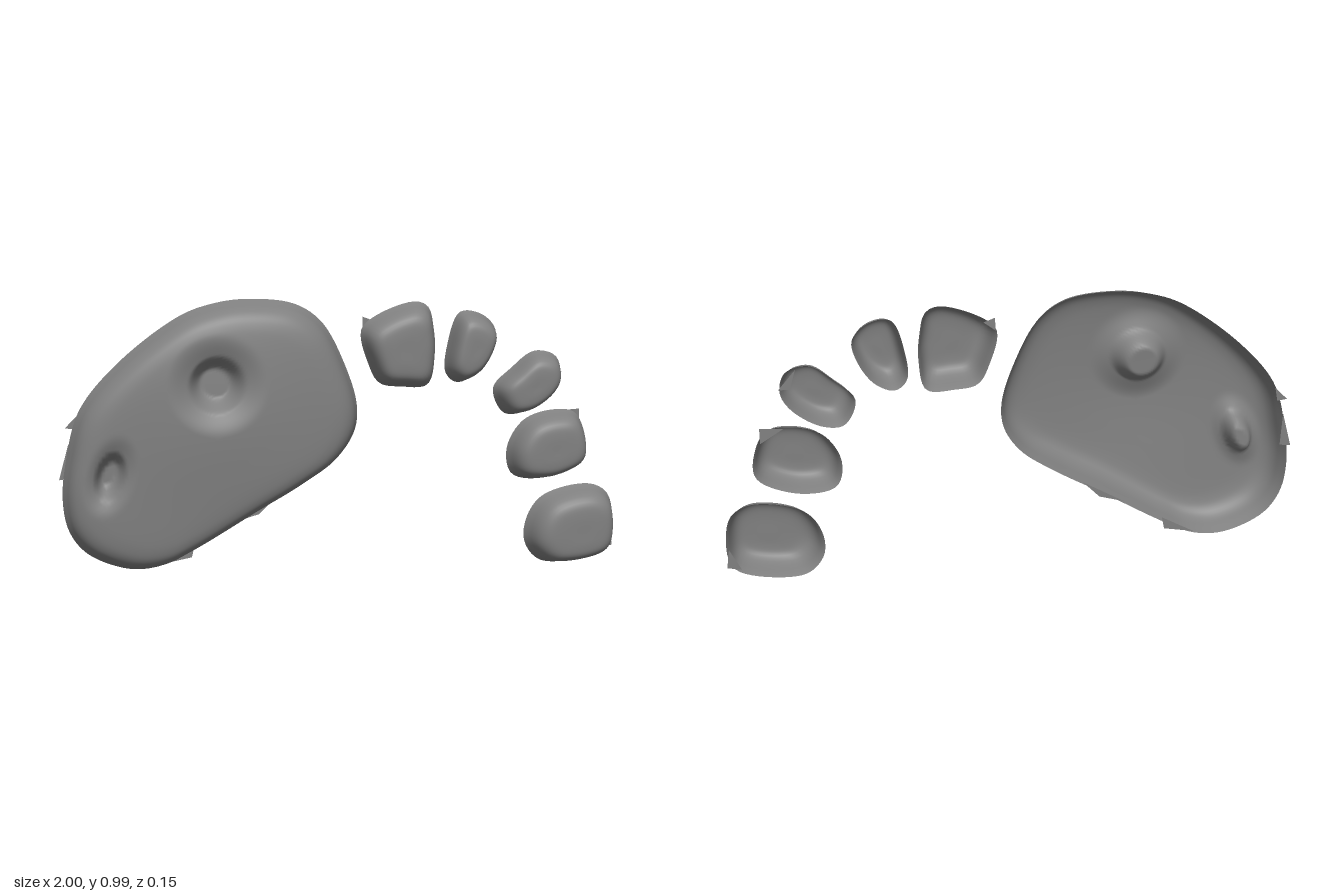
import * as THREE from 'three';

const BACK = -0.075; // plane of the open rims
const { smoothstep } = THREE.MathUtils;
const material = new THREE.MeshStandardMaterial({ color: 0x808080, side: THREE.DoubleSide });

// Open-backed shell: a closed outline (clockwise from the front) shrinks towards
// its centre along a profile of [scale, height fraction] pairs.
function shell(name, outline, centre, profile, frontZ, segments, rings) {
  const rim = new THREE.CatmullRomCurve3(
    outline.map(([x, y]) => new THREE.Vector3(x, y, 0)), true, 'centripetal'
  ).getSpacedPoints(segments).slice(0, segments);
  const section = new THREE.SplineCurve(profile.map(([s, h]) => new THREE.Vector2(s, h * 0.2)))
    .getSpacedPoints(rings);
  const [cx, cy] = centre;
  const positions = [], index = [];
  for (let i = 0; i < rings; i++) {
    const { x: scale, y: height } = section[i];
    for (const p of rim) {
      const x = cx + (p.x - cx) * scale, y = cy + (p.y - cy) * scale;
      positions.push(x, y, BACK + (frontZ(x, y) - BACK) * height * 5);
    }
  }
  positions.push(cx, cy, frontZ(cx, cy));
  const last = rings * segments;
  for (let i = 0; i < rings; i++) {
    for (let j = 0; j < segments; j++) {
      const k = (j + 1) % segments;
      const a = i * segments + j, b = i * segments + k;
      if (i === rings - 1) index.push(a, last, b);
      else index.push(a, a + segments, b, b, a + segments, b + segments);
    }
  }
  const geometry = new THREE.BufferGeometry();
  geometry.setAttribute('position', new THREE.Float32BufferAttribute(positions, 3));
  geometry.setIndex(index);
  geometry.computeVertexNormals();
  const mesh = new THREE.Mesh(geometry, material);
  mesh.name = name;
  return mesh;
}

// Funnel-shaped dent with a steep inner socket, as a depth at (x, y)
function dent(x, y, { cx, cy, rx, ry, tilt, funnel, socket }) {
  const dx = x - cx, dy = y - cy, c = Math.cos(tilt), s = Math.sin(tilt);
  const d = Math.hypot((dx * c + dy * s) / rx, (dy * c - dx * s) / ry);
  return funnel * (1 - smoothstep(d, 0.6, 2.2)) + socket * (1 - smoothstep(d, 0.6, 1.25));
}

const EYES = [
  { cx: -0.465, cy: 0.705, rx: 0.08, ry: 0.08, tilt: 0, funnel: 0.035, socket: 0.055 },
  { cx: -0.83, cy: 0.4, rx: 0.04, ry: 0.07, tilt: -0.35, funnel: 0.025, socket: 0.055 },
];

// Front of the head: gentle swell with two dents
function headFront(x, y) {
  const swell = Math.exp(-(((x + 0.42) / 0.38) ** 2) - ((y - 0.58) / 0.4) ** 2);
  return EYES.reduce((z, eye) => z - dent(x, y, eye), 0.031 + 0.046 * swell);
}

const HEAD_OUTLINE = [
  [-0.35, 0.985], [-0.18, 0.965], [-0.085, 0.9], [0, 0.74], [0.04, 0.6], [0.03, 0.51],
  [-0.03, 0.42], [-0.16, 0.33], [-0.31, 0.245], [-0.56, 0.1], [-0.66, 0.055],
  [-0.77, 0.05], [-0.91, 0.11], [-0.97, 0.19], [-0.99, 0.3], [-0.975, 0.44],
  [-0.925, 0.615], [-0.79, 0.775], [-0.58, 0.93], [-0.47, 0.97],
];
const HEAD_PROFILE = [[1, 0], [0.975, 0.3], [0.95, 0.6], [0.91, 0.82], [0.84, 0.95], [0.7, 1], [0.35, 1], [0, 1]];

// Curved row of five segments following the head
const SEGMENT_PROFILE = [[1, 0], [0.94, 0.18], [0.88, 0.52], [0.79, 0.79], [0.64, 0.95], [0.38, 1], [0, 1]];
const SEGMENTS = [
  { front: 0.03, centre: [0.195, 0.8], outline: [
    [0.055, 0.87], [0.11, 0.92], [0.25, 0.965], [0.295, 0.945], [0.315, 0.87],
    [0.32, 0.78], [0.295, 0.67], [0.2, 0.665], [0.12, 0.68], [0.08, 0.75]] },
  { front: 0.025, centre: [0.45, 0.8], outline: [
    [0.41, 0.925], [0.49, 0.915], [0.54, 0.86], [0.52, 0.775],
    [0.465, 0.7], [0.4, 0.675], [0.36, 0.71], [0.365, 0.81]] },
  { front: 0.02, centre: [0.67, 0.66], outline: [
    [0.535, 0.65], [0.6, 0.72], [0.685, 0.78], [0.765, 0.76],
    [0.785, 0.69], [0.75, 0.625], [0.65, 0.56], [0.575, 0.56]] },
  { front: 0.022, centre: [0.75, 0.425], outline: [
    [0.59, 0.43], [0.65, 0.53], [0.76, 0.565], [0.845, 0.55],
    [0.89, 0.42], [0.87, 0.37], [0.73, 0.315], [0.61, 0.335]] },
  { front: 0.03, centre: [0.86, 0.12], outline: [
    [0.67, 0.17], [0.73, 0.25], [0.91, 0.285], [0.98, 0.24],
    [0.99, 0.07], [0.945, 0.025], [0.73, 0.005], [0.665, 0.075]] },
];

// Small torn corners lying in the plane of the rims
const TATTERS = [
  [[-0.93, 0.6], [-0.975, 0.555], [-0.94, 0.55]],
  [[-0.965, 0.5], [-1, 0.375], [-0.96, 0.38]],
  [[-0.25, 0.285], [-0.31, 0.225], [-0.4, 0.2]],
  [[-0.54, 0.125], [-0.55, 0.08], [-0.66, 0.06]],
  [[0.06, 0.915], [0.1, 0.9], [0.06, 0.87]],
  [[0.73, 0.77], [0.79, 0.7], [0.75, 0.7]],
  [[0.78, 0.56], [0.86, 0.565], [0.86, 0.51]],
  [[0.99, 0.12], [1, 0.05], [0.95, 0.04]],
];

function rimTatters() {
  const shapes = TATTERS.map((t) => new THREE.Shape(t.map(([x, y]) => new THREE.Vector2(x, y))));
  const mesh = new THREE.Mesh(new THREE.ShapeGeometry(shapes), material);
  mesh.name = 'rimTatters';
  mesh.position.z = BACK;
  return mesh;
}

export function createModel() {
  const group = new THREE.Group();
  group.name = 'segmentedCreature';
  group.add(shell('head', HEAD_OUTLINE, [-0.47, 0.52], HEAD_PROFILE, headFront, 144, 60));
  SEGMENTS.forEach(({ front, centre, outline }, i) => {
    group.add(shell(`bodySegment${i + 1}`, outline, centre, SEGMENT_PROFILE, () => front, 48, 18));
  });
  group.add(rimTatters());
  return group;
}
